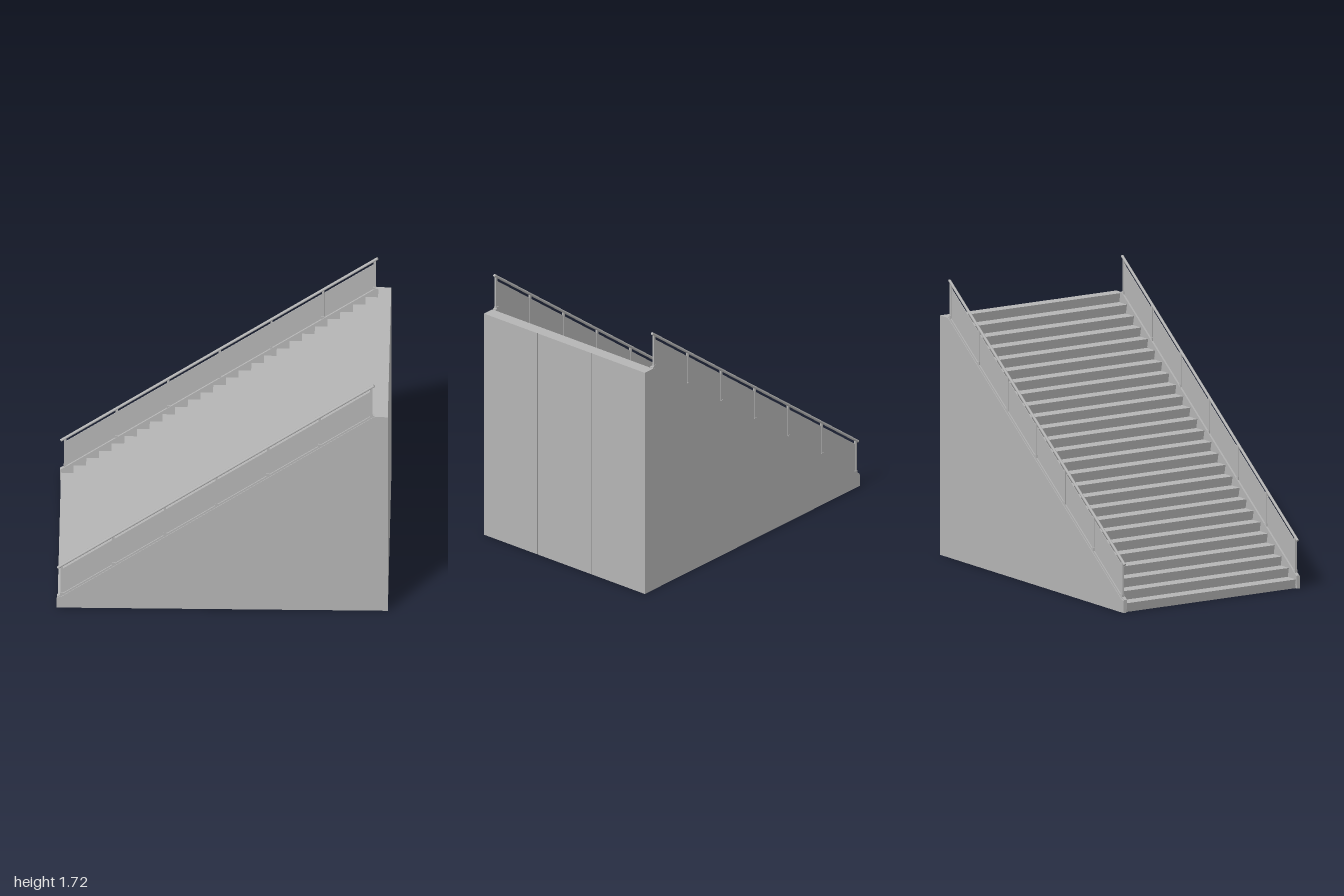
import * as THREE from 'three';

const SLOPE = 0.74;
const STEPS = 26;
const RUN = 0.0767;
const RISE = 1.48 / STEPS;
const SKIN = 0.006;
// height of the sloping curb top at x
const curbY = (x) => 0.1 + SLOPE * (x + 0.97);

// extrude an x-y outline between two z values
function slab(points, z0, z1, material, name) {
  const shape = new THREE.Shape(points.map(([x, y]) => new THREE.Vector2(x, y)));
  const geo = new THREE.ExtrudeGeometry(shape, { depth: z1 - z0, bevelEnabled: false });
  geo.translate(0, 0, z0);
  const mesh = new THREE.Mesh(geo, material);
  mesh.name = name;
  return mesh;
}

function box(x0, x1, y0, y1, z0, z1, material, name) {
  const mesh = new THREE.Mesh(new THREE.BoxGeometry(x1 - x0, y1 - y0, z1 - z0), material);
  mesh.position.set((x0 + x1) / 2, (y0 + y1) / 2, (z0 + z1) / 2);
  mesh.name = name;
  return mesh;
}

export function createModel() {
  const model = new THREE.Group();
  model.name = 'staircase';
  const grey = new THREE.MeshStandardMaterial({ color: 0xb4b4b4 });
  grey.name = 'concrete grey';

  // folded flight: slanted risers below each nosing, open underneath
  const top = [], under = [];
  for (let i = 0; i < STEPS; i++) {
    const nose = -0.995 + i * RUN;
    const foot = nose + 0.012;
    const y = i * RISE;
    top.push([foot, y], [nose, y + RISE]);
    under.push([foot + SKIN, i ? y - SKIN : 0], [nose + SKIN, y + RISE - SKIN]);
  }
  top.push([0.985, 1.48]);
  under.push([0.985, 1.48 - SKIN]);
  model.add(slab([...under, ...top.reverse()], -0.618, 0.618, grey, 'steps'));

  // rear wall: three panels with narrow seams over a backing sheet
  const rear = new THREE.Group();
  rear.name = 'rearWall';
  rear.add(box(0.98, 0.995, 0, 1.48, -0.618, 0.618, grey, 'backing'));
  const third = 1.28 / 3;
  for (let i = 0; i < 3; i++) {
    const z = -0.64 + i * third;
    rear.add(box(0.985, 1, 0, 1.48, z + (i ? 0.002 : 0), z + third - (i < 2 ? 0.002 : 0), grey, 'rearPanel'));
  }
  model.add(rear);

  for (const side of [-1, 1]) {
    const group = new THREE.Group();
    group.name = side > 0 ? 'leftSide' : 'rightSide';
    // add a slab spanning inner..outer distance from the centre
    const add = (points, inner, outer, name) =>
      group.add(slab(points, side > 0 ? inner : -outer, side > 0 ? outer : -inner, grey, name));

    // wall and raised curb along the flight
    add([[-1, 0], [0.985, 0], [0.985, 1.48], [0.92, 1.48], [0.9, curbY(0.9) - 0.015],
      [-0.97, 0.085], [-1, 0.075]], 0.617, 0.64, 'sideWall');
    add([[-1, 0.02], [-0.96, 0.02], [0.92, 1.42], [0.92, 1.485], [0.905, curbY(0.905)],
      [-0.97, 0.1], [-1, 0.08]], 0.614, 0.636, 'curb');

    // infill panels between the posts
    const posts = Array.from({ length: 7 }, (_, i) => -0.97 + i * 0.3117);
    for (let i = 0; i < 6; i++) {
      const a = posts[i] + 0.004, b = posts[i + 1] - 0.004;
      add([[a, curbY(a) - 0.005], [b, curbY(b) - 0.005], [b, curbY(b) + 0.185], [a, curbY(a) + 0.185]],
        0.625, 0.629, 'railingPanel');
    }
    // posts with small foot blocks
    for (const x of posts) {
      const y = curbY(x), z = side * 0.627;
      group.add(box(x - 0.007, x + 0.007, y - 0.01, y + 0.212, z - 0.006, z + 0.006, grey, 'post'));
      group.add(box(x - 0.009, x + 0.009, y - 0.015, y + 0.012, z - 0.009, z + 0.009, grey, 'postFoot'));
    }
    // round handrail
    const start = new THREE.Vector3(-0.995, curbY(-0.995) + 0.213, side * 0.627);
    const end = new THREE.Vector3(0.918, curbY(0.918) + 0.213, side * 0.627);
    const rail = new THREE.Mesh(new THREE.CylinderGeometry(0.0085, 0.0085, start.distanceTo(end), 12), grey);
    rail.position.copy(start).lerp(end, 0.5);
    rail.quaternion.setFromUnitVectors(new THREE.Vector3(0, 1, 0), end.clone().sub(start).normalize());
    rail.name = 'handrail';
    group.add(rail);
    model.add(group);
  }
  return model;
}
